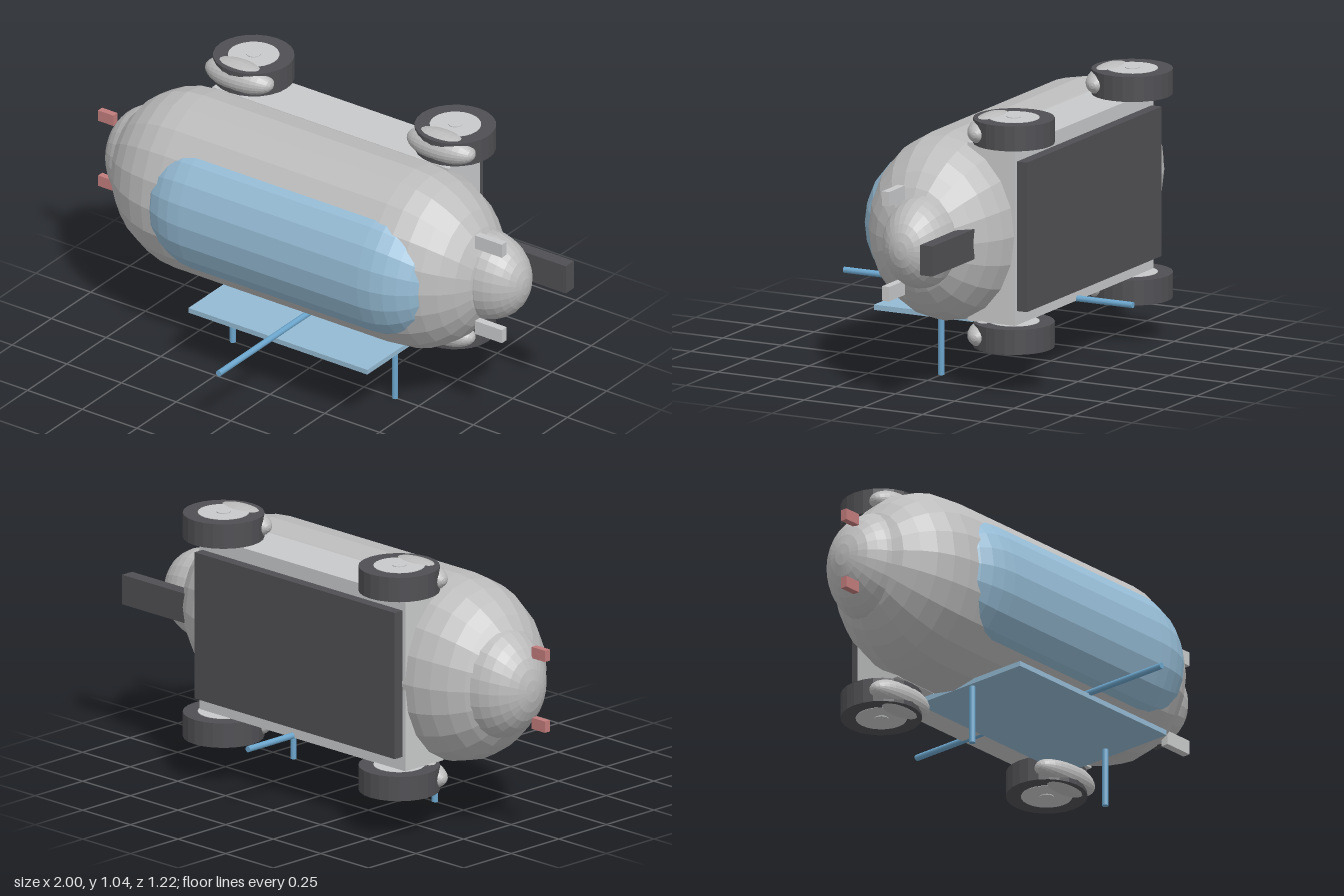
import * as THREE from 'three';

const mat = (name, color) => {
  const m = new THREE.MeshStandardMaterial({ color });
  m.name = name;
  return m;
};

export function createModel() {
  const group = new THREE.Group();
  const grey = mat('body grey', 0xbcbcbc);
  const pale = mat('pale grey', 0xc8c9ca);
  const dark = mat('dark rubber', 0x505054);
  const glass = mat('glass blue', 0x94bad3);
  const blue = mat('stand blue', 0x6ca6cd);
  const red = mat('tail light red', 0xc27c7c);
  const MID = 0.59; // height of the body's plane of symmetry

  const add = (name, geo, material, x, y, z) => {
    const mesh = new THREE.Mesh(geo, material);
    mesh.name = name;
    mesh.position.set(x, y, z);
    group.add(mesh);
    return mesh;
  };
  // faceted normals
  const facet = (geo) => {
    const g = geo.toNonIndexed();
    g.computeVertexNormals();
    return g;
  };
  const box = (name, material, x0, x1, y0, y1, z0, z1) =>
    add(name, new THREE.BoxGeometry(x1 - x0, y1 - y0, z1 - z0), material,
      (x0 + x1) / 2, (y0 + y1) / 2, (z0 + z1) / 2);
  // capsule lying along x, flattened in z
  const capsule = (name, material, x0, x1, r, rz, z) =>
    add(name, facet(new THREE.CapsuleGeometry(r, x1 - x0, 8, 20).rotateZ(Math.PI / 2).scale(1, 1, rz / r)),
      material, (x0 + x1) / 2, MID, z);
  const ellipsoid = (name, material, rx, ry, rz, x, y, z) =>
    add(name, facet(new THREE.SphereGeometry(1, 24, 16).rotateZ(Math.PI / 2).scale(rx, ry, rz)), material, x, y, z);

  // hull, canopy and rounded ends
  capsule('body', grey, -0.54, 0.43, 0.36, 0.305, -0.075);
  capsule('canopy', glass, -0.41, 0.41, 0.27, 0.22, 0.05);
  ellipsoid('nose', grey, 0.18, 0.175, 0.14, 0.737, MID, -0.108);
  ellipsoid('tail', grey, 0.2, 0.22, 0.18, -0.768, MID, -0.1);

  // chassis, underside plate and front bar
  box('chassis', pale, -0.57, 0.51, 0.25, 0.93, -0.375, -0.175);
  box('undersidePlate', dark, -0.555, 0.495, 0.305, 0.875, -0.417, -0.37);
  box('frontBar', dark, 0.6, 1.0, 0.53, 0.645, -0.292, -0.24);

  // parts mirrored on both flanks
  for (const s of [1, -1]) {
    for (const x of [-0.49, 0.432]) {
      add('tire', facet(new THREE.CylinderGeometry(0.152, 0.152, 0.095, 24)), dark, x, MID + s * 0.388, -0.328);
      add('hub', new THREE.CylinderGeometry(0.096, 0.096, 0.098, 24), pale, x, MID + s * 0.388, -0.328);
      add('hubCap', new THREE.CylinderGeometry(0.027, 0.027, 0.102, 16), pale, x, MID + s * 0.389, -0.328);
      ellipsoid('fender', grey, 0.15, 0.06, 0.07, x, MID + s * 0.387, -0.238);
    }
    const head = box('headlight', pale, 0.75, 0.873, 0, 0.055, -0.04, -0.01);
    head.position.y = MID + s * 0.181;
    const rear = box('tailLight', red, -1.0, -0.93, 0, 0.044, -0.073, -0.047);
    rear.position.y = MID + s * 0.138;
  }

  // stand with two legs and a cross rod
  box('standTop', glass, -0.37, 0.448, 0.23, 0.25, -0.255, 0.255);
  for (const x of [-0.35, 0.392])
    add('standLeg', new THREE.CylinderGeometry(0.012, 0.012, 0.235, 10), blue, x, 0.1175, 0);
  add('crossRod', new THREE.CylinderGeometry(0.012, 0.012, 1.22, 10).rotateX(Math.PI / 2), blue, 0.023, 0.257, 0);

  return group;
}
